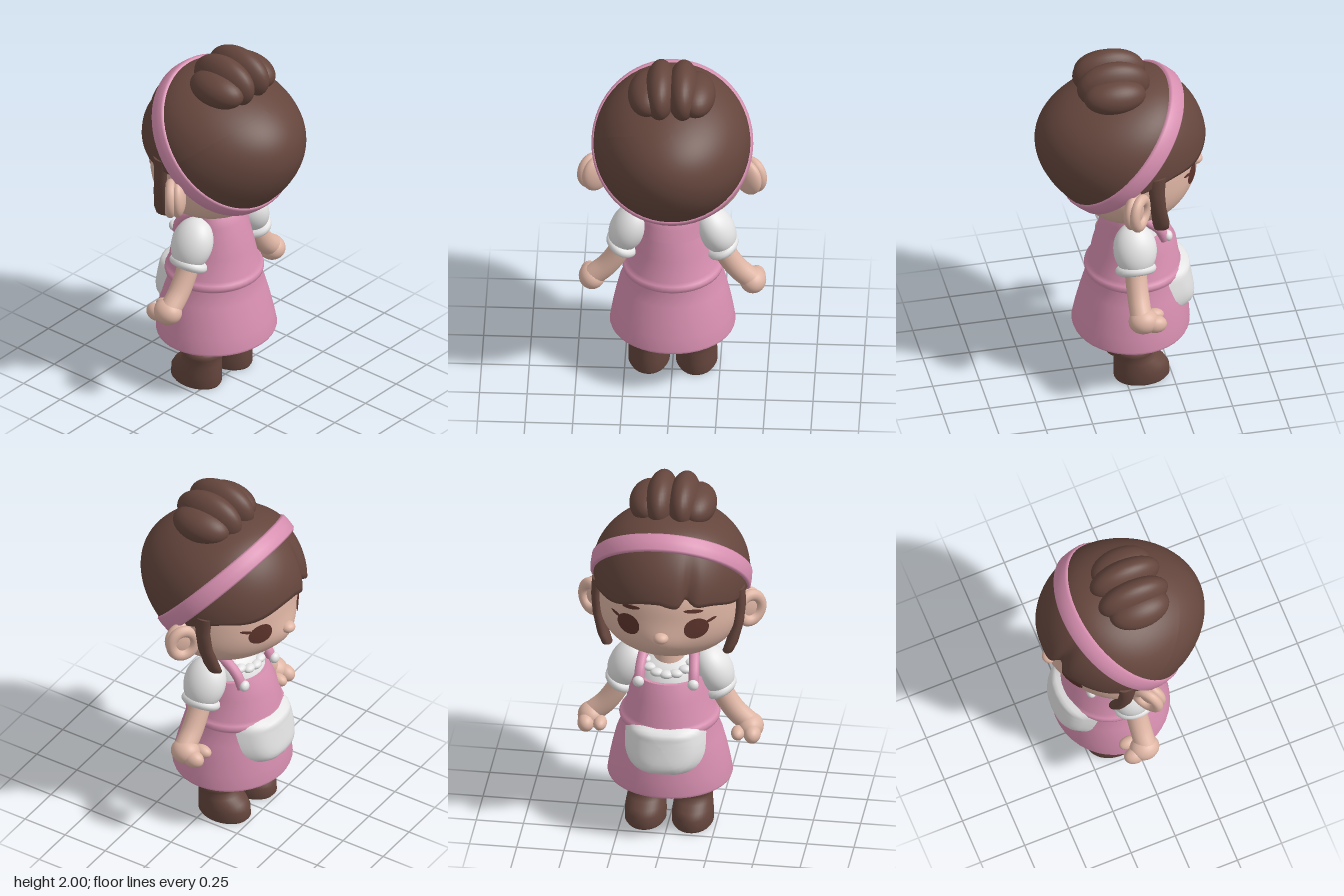
import * as THREE from 'three';

const mat = (name, color, side = THREE.FrontSide) => {
  const m = new THREE.MeshStandardMaterial({ color, side });
  m.name = name;
  return m;
};

export function createModel() {
  const brown = mat('brown hair and boots', 0x65463d, THREE.DoubleSide);
  const pink = mat('pink fabric', 0xd78fb0, THREE.DoubleSide);
  const skin = mat('skin', 0xdeb5a4);
  const white = mat('white cloth', 0xe4e4e4, THREE.DoubleSide);
  const dark = mat('dark eye brown', 0x5d342c, THREE.DoubleSide);
  const model = new THREE.Group();
  model.name = 'girlFigure';

  const add = (name, geo, material, parent = model) => {
    const m = new THREE.Mesh(geo, material);
    m.name = name;
    parent.add(m);
    return m;
  };
  const ball = (name, material, pos, radii, parent = model, rotZ = 0) => {
    const m = add(name, new THREE.SphereGeometry(1, 32, 20), material, parent);
    m.position.set(...pos);
    m.scale.set(...radii);
    m.rotation.z = rotZ;
    return m;
  };
  const surface = (pos, idx) => {
    const g = new THREE.BufferGeometry();
    g.setAttribute('position', new THREE.Float32BufferAttribute(pos, 3));
    g.setIndex(idx);
    g.computeVertexNormals();
    return g;
  };
  // Stacked ellipses [y, centreX, centreZ, radiusX, radiusZ], bottom to top
  const loft = (rows, from = 0, arc = Math.PI * 2, n = 40) => {
    const pos = [], idx = [], closed = arc > 6.28, cols = closed ? n : n + 1;
    const ring = ([y, cx, cz, rx, rz]) => {
      for (let j = 0; j < cols; j++) {
        const t = from + arc * j / n;
        pos.push(cx + rx * Math.cos(t), y, cz + rz * Math.sin(t));
      }
    };
    rows.forEach(ring);
    for (let i = 0; i < rows.length - 1; i++) for (let j = 0; j < n; j++) {
      const a = i * cols + j, b = i * cols + (j + 1) % cols;
      idx.push(a, a + cols, b, b, a + cols, b + cols);
    }
    if (closed) [rows[0], rows[rows.length - 1]].forEach((r, top) => {
      const s = pos.length / 3;
      ring(r);
      pos.push(r[1], r[0], r[2]);
      for (let j = 0; j < n; j++) {
        const k = s + (j + 1) % n;
        idx.push(s + n, top ? k : s + j, top ? s + j : k);
      }
    });
    return surface(pos, idx);
  };
  // Disc facing -z whose points are placed by a rule
  const patch = (rule) => {
    const g = new THREE.RingGeometry(0.001, 1, 40, 8), p = g.attributes.position;
    for (let i = 0; i < p.count; i++) p.setXYZ(i, ...rule(-p.getX(i), p.getY(i)));
    g.computeVertexNormals();
    return g;
  };

  // Head: rounded, with full lower cheeks and a soft muzzle
  const HY = 1.36, HZ = -0.03, HX = 0.385, RY = 0.31;
  const girth = (v) => Math.pow(Math.max(0, 1 - Math.pow(Math.abs(v), 2.7)), 1 / 2.7);
  const muzzle = (x, y) => 0.03 * Math.exp(-((x / 0.13) ** 2) - ((y - 1.22) / 0.09) ** 2);
  const faceZ = (x, y) => {
    const h = girth((y - HY) / RY);
    return HZ - 0.36 * Math.sqrt(Math.max(0, h * h - (x / HX) ** 2)) - muzzle(x, y);
  };
  const headGeo = new THREE.SphereGeometry(1, 56, 40), hp = headGeo.attributes.position;
  for (let i = 0; i < hp.count; i++) {
    const v = hp.getY(i), r = Math.hypot(hp.getX(i), hp.getZ(i)) || 1;
    const k = girth(v) / r, x = hp.getX(i) * k * HX, z = hp.getZ(i) * k, y = HY + v * RY;
    hp.setXYZ(i, x, y, HZ + z * (z < 0 ? 0.36 : 0.31) - (z < 0 ? muzzle(x, y) : 0));
  }
  headGeo.computeVertexNormals();
  add('head', headGeo, skin);
  ball('nose', skin, [0, 1.275, -0.405], [0.04, 0.03, 0.04]);

  // Eyes, lashes and brows lie on the face
  const mark = (name, cx, cy, rx, ry, tilt) => add(name, patch((u, v) => {
    const c = Math.cos(tilt), s = Math.sin(tilt);
    const x = cx + u * rx * c - v * ry * s, y = cy + u * rx * s + v * ry * c;
    return [x, y, faceZ(x, y) - 0.007];
  }), dark);
  for (const s of [-1, 1]) {
    mark('eye', s * 0.18, 1.32, 0.062, 0.06, 0);
    mark('eyelash', s * 0.25, 1.355, 0.03, 0.009, s * 0.35);
    mark('eyebrow', s * 0.165, 1.425, 0.05, 0.011, s * -0.12);
  }

  // Back hair and headband share one tilted axis
  const crown = new THREE.Group();
  crown.name = 'crown';
  crown.position.set(0, 1.47, -0.018);
  crown.rotation.x = 0.859;
  model.add(crown);
  const capGeo = new THREE.SphereGeometry(1, 56, 28, 0, Math.PI * 2, 0, Math.PI / 2);
  capGeo.scale(0.415, 0.405, 0.425);
  const cp = capGeo.attributes.position;
  for (let i = 0; i < cp.count; i++) cp.setY(i, cp.getY(i) * (1 + 0.8 * cp.getZ(i)));
  capGeo.computeVertexNormals();
  add('backHair', capGeo, brown, crown);
  const band = [[0.39, -0.05], [0.425, -0.05], [0.436, -0.04], [0.438, 0], [0.436, 0.04], [0.425, 0.05], [0.39, 0.05]];
  const bandMesh = add('headband', new THREE.LatheGeometry(band.map((p) => new THREE.Vector2(...p)), 64), pink, crown);
  bandMesh.scale.x = 0.97;

  // Fringe: sweeps from the headband to a scalloped edge, parted off centre
  const fp = [], fi = [], NA = 72, NS = 12;
  for (let j = 0; j <= NS + 2; j++) for (let i = 0; i <= NA; i++) {
    const al = (i / NA * 2 - 1) * 1.6, be = al * 0.95, s = Math.min(1, j / NS);
    const part = Math.exp(-(((be + 0.35) / 0.08) ** 2));
    const e = 0.1 - 0.17 * Math.abs(be) + 0.12 * part + 0.025 * Math.sin(be * 7) - (j > NS ? 0.02 : 0);
    const a = new THREE.Vector3(Math.sin(al), Math.cos(al) * 0.757, -Math.cos(al) * 0.653);
    const b = new THREE.Vector3(Math.sin(be) * Math.cos(e), Math.sin(e), -Math.cos(be) * Math.cos(e));
    const d = a.lerp(b, s).normalize();
    const r = (1 - 0.08 * part * s) * [1, 0.95, 0.75][Math.max(0, j - NS)];
    fp.push(d.x * 0.408 * r, 1.46 + d.y * 0.42 * r, -0.01 + d.z * 0.445 * r);
  }
  for (let j = 0; j < NS + 2; j++) for (let i = 0; i < NA; i++) {
    const a = j * (NA + 1) + i, b = a + NA + 1;
    fi.push(a, a + 1, b, a + 1, b + 1, b);
  }
  add('fringe', surface(fp, fi), brown);

  // Bun of four lobes
  for (const s of [-1, 1]) {
    ball('bunInnerLobe', brown, [s * 0.06, 1.86, 0.045], [0.085, 0.14, 0.195]);
    ball('bunOuterLobe', brown, [s * 0.128, 1.84, 0.052], [0.102, 0.095, 0.165]);
  }

  // Dress with skirt, waist roll and bib
  const dress = [
    [0.28, 0, -0.06, 0.325, 0.305], [0.295, 0, -0.06, 0.33, 0.31], [0.37, 0, -0.065, 0.318, 0.3],
    [0.45, 0, -0.07, 0.302, 0.285], [0.54, 0, -0.075, 0.28, 0.265], [0.62, 0, -0.08, 0.25, 0.248],
    [0.632, 0, -0.075, 0.262, 0.257], [0.65, 0, -0.075, 0.266, 0.26], [0.668, 0, -0.075, 0.258, 0.255],
    [0.68, 0, -0.078, 0.238, 0.24], [0.8, 0, -0.08, 0.212, 0.22], [0.9, 0, -0.07, 0.19, 0.18],
  ];
  add('dress', loft(dress), pink);
  const yoke = [[0.9, 0, -0.07, 0.19, 0.18], [0.97, 0, -0.05, 0.175, 0.14], [1.03, 0, -0.01, 0.162, 0.075], [1.055, 0, -0.01, 0.14, 0.04], [1.06, 0, -0.015, 0.05, 0.01]];
  add('dressBack', loft(yoke, -0.25, Math.PI + 0.5), pink);
  add('shirt', loft([[0.86, 0, -0.07, 0.175, 0.17], [0.92, 0, -0.065, 0.17, 0.16], [0.98, 0, -0.055, 0.155, 0.12], [1.03, 0, -0.03, 0.13, 0.06]]), white);
  add('neck', loft([[0.92, 0, -0.06, 0.1, 0.11], [1.0, 0, -0.065, 0.095, 0.1], [1.12, 0, -0.05, 0.09, 0.09]]), skin);
  for (let i = -3; i <= 3; i++) {
    const t = i * 0.4;
    ball('collarRuffle', white, [0.13 * Math.sin(t), 1.0 - 0.06 * Math.cos(t), -0.08 - 0.125 * Math.cos(t)], [0.036, 0.022, 0.03]);
  }

  // Apron pocket wraps the front of the skirt
  const bodyFront = (x, y) => {
    let i = 0;
    while (i < dress.length - 2 && dress[i + 1][0] < y) i++;
    const a = dress[i], b = dress[i + 1], t = (y - a[0]) / (b[0] - a[0]);
    const [cz, rx, rz] = [2, 3, 4].map((k) => a[k] + (b[k] - a[k]) * t);
    return cz - rz * Math.sqrt(Math.max(0, 1 - (x / rx) ** 2));
  };
  add('pocket', patch((u, v) => {
    const r = Math.hypot(u, v), c = u / r, s = v / r;
    const x = 0.215 * Math.sign(c) * Math.abs(c) ** 0.55 * r;
    const y = 0.58 + (s > 0 ? 0.1 * s ** 0.5 : -0.17 * (-s) ** 0.75) * r;
    return [x, y, bodyFront(x * 0.9, Math.min(y, 0.62)) - 0.045 + 0.065 * r ** 7];
  }), white);

  for (const s of [-1, 1]) {
    // Ear with raised rim, turned outward
    const ear = new THREE.Group();
    ear.name = 'ear';
    ear.position.set(s * 0.405, 1.275, -0.005);
    ear.rotation.y = -s * 0.65;
    model.add(ear);
    ball('earBack', skin, [0, 0, 0.015], [0.088, 0.105, 0.045], ear);
    const rim = add('earRim', new THREE.TorusGeometry(0.066, 0.028, 14, 32), skin, ear);
    rim.position.z = -0.022;
    rim.scale.y = 1.15;

    add('sideLock', loft([
      [1.08, s * 0.315, -0.16, 0.012, 0.02], [1.09, s * 0.32, -0.158, 0.028, 0.04], [1.14, s * 0.34, -0.15, 0.032, 0.045],
      [1.25, s * 0.37, -0.13, 0.03, 0.042], [1.36, s * 0.38, -0.12, 0.03, 0.042], [1.46, s * 0.375, -0.12, 0.03, 0.05],
    ], 0, Math.PI * 2, 20), brown);

    // Straps and buttons
    const strap = new THREE.CatmullRomCurve3([[0.125, 1.03, -0.02], [0.135, 1.005, -0.11], [0.142, 0.95, -0.18], [0.145, 0.88, -0.215]]
      .map(([x, y, z]) => new THREE.Vector3(s * x, y, z)));
    add('strap', new THREE.TubeGeometry(strap, 16, 0.028, 12), pink);
    ball('button', white, [s * 0.145, 0.9, -0.228], [0.03, 0.03, 0.025]);

    // Puffed sleeve, cuff, arm and hand
    ball('sleeve', white, [s * 0.228, 0.9, -0.035], [0.098, 0.145, 0.115], model, s * 0.45);
    const cuff = add('cuff', new THREE.TorusGeometry(0.063, 0.028, 12, 32).rotateX(Math.PI / 2), white);
    cuff.position.set(s * 0.262, 0.795, -0.032);
    cuff.rotation.z = s * 0.45;
    cuff.scale.z = 1.2;
    const arm = new THREE.CatmullRomCurve3([[0.245, 0.83], [0.285, 0.74], [0.345, 0.65], [0.42, 0.58]]
      .map(([x, y]) => new THREE.Vector3(s * x, y, -0.03)));
    add('arm', new THREE.TubeGeometry(arm, 20, 0.058, 18), skin);
    ball('hand', skin, [s * 0.422, 0.57, -0.04], [0.07, 0.068, 0.08]);
    ball('fingers', skin, [s * 0.44, 0.555, -0.1], [0.045, 0.048, 0.06]);
    ball('thumb', skin, [s * 0.365, 0.56, -0.105], [0.036, 0.036, 0.055]);

    // Leg and boot
    const bx = s * 0.125;
    add('leg', loft([[0.18, bx, -0.05, 0.085, 0.095], [0.32, bx, -0.05, 0.09, 0.1]]), brown);
    add('boot', loft([
      [0, bx, -0.09, 0.1, 0.138], [0.015, bx, -0.092, 0.109, 0.148], [0.07, bx, -0.09, 0.109, 0.147],
      [0.105, bx, -0.08, 0.105, 0.136], [0.135, bx, -0.06, 0.1, 0.115], [0.165, bx, -0.05, 0.098, 0.103],
      [0.18, bx, -0.05, 0.104, 0.109], [0.2, bx, -0.05, 0.104, 0.109], [0.208, bx, -0.05, 0.094, 0.1],
    ]), brown);
  }
  return model;
}
